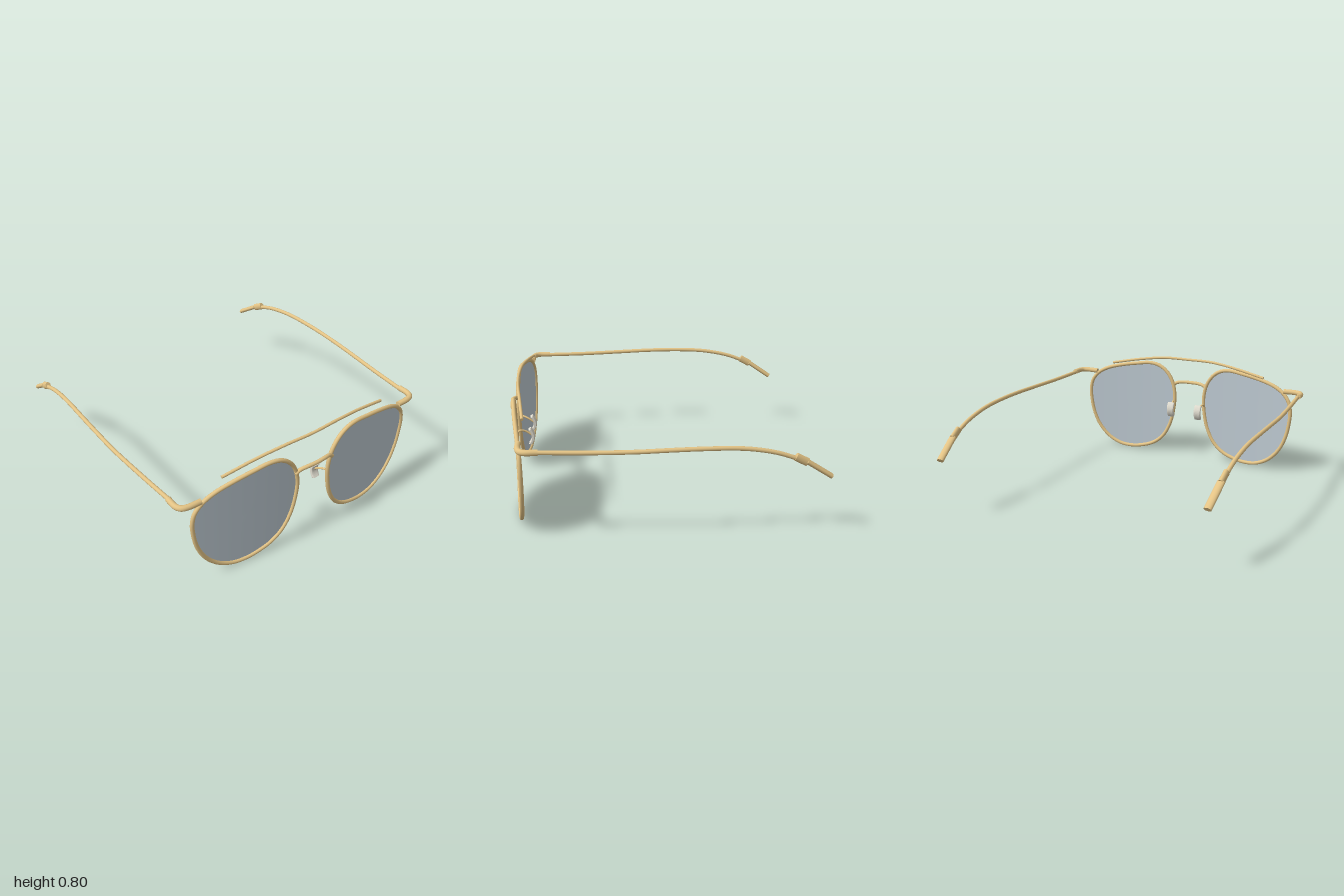
import * as THREE from 'three';
import { mergeGeometries } from 'three/addons/utils/BufferGeometryUtils.js';

const gold = new THREE.MeshStandardMaterial({ color: 0xe3c385 });
gold.name = 'gold metal';
const glass = new THREE.MeshStandardMaterial({ color: 0xbecad2, side: THREE.DoubleSide });
glass.name = 'grey lens';
const silicone = new THREE.MeshStandardMaterial({ color: 0xe0dccf });
silicone.name = 'pale silicone';

const V = (x, y, z) => new THREE.Vector3(x, y, z);

// Front wrap: the lenses sweep back towards the temples
const wrapZ = (x) => 0.965 - 0.03 * Math.abs(x) - 0.08 * x * x;

// Centre line of one rim, in x and y
const RIM = [
  [0.34, 0.73], [0.45, 0.717], [0.57, 0.697], [0.7, 0.662], [0.78, 0.617], [0.83, 0.555],
  [0.848, 0.48], [0.845, 0.4], [0.822, 0.28], [0.77, 0.165], [0.685, 0.074], [0.59, 0.026],
  [0.5, 0.015], [0.42, 0.024], [0.31, 0.06], [0.225, 0.128], [0.163, 0.24], [0.132, 0.37],
  [0.125, 0.49], [0.15, 0.6], [0.203, 0.677], [0.265, 0.717],
];

function mesh(name, geometry, material) {
  const m = new THREE.Mesh(geometry, material);
  m.name = name;
  return m;
}

// Round wire through points, with flat caps on both ends
function wire(name, points, radius, segments) {
  const curve = new THREE.CatmullRomCurve3(points, false, 'centripetal');
  const parts = [new THREE.TubeGeometry(curve, segments, radius, 12, false)];
  for (const t of [0, 1]) {
    const dir = curve.getTangentAt(t).multiplyScalar(t ? 1 : -1);
    const cap = new THREE.CircleGeometry(radius, 12);
    cap.applyQuaternion(new THREE.Quaternion().setFromUnitVectors(V(0, 0, 1), dir));
    const p = curve.getPointAt(t);
    parts.push(cap.translate(p.x, p.y, p.z));
  }
  return mesh(name, mergeGeometries(parts), gold);
}

// Oval rod from a to b
function ovalRod(name, a, b, halfWidth, halfHeight) {
  const g = new THREE.CylinderGeometry(1, 1, a.distanceTo(b), 20).rotateX(Math.PI / 2);
  const m = mesh(name, g.scale(halfWidth, halfHeight, 1), gold);
  m.position.copy(a).lerp(b, 0.5);
  m.lookAt(b);
  return m;
}

// Curved lens: concentric loops shrunk from the rim outline
function lensGeometry(curve, cx, cy) {
  const n = 96, rings = 8, pos = [], index = [];
  const outline = curve.getPoints(n);
  for (let r = 0; r <= rings; r++) {
    for (let i = 0; i <= n; i++) {
      const x = cx + ((outline[i].x - cx) * r) / rings;
      const y = cy + ((outline[i].y - cy) * r) / rings;
      pos.push(x, y, wrapZ(x));
      if (r < rings && i < n) {
        const a = r * (n + 1) + i, b = a + n + 1;
        // Keep the front of each face towards +z on both sides
        if (cx > 0) index.push(a, a + 1, b, b, a + 1, b + 1);
        else index.push(a, b, a + 1, b, b + 1, a + 1);
      }
    }
  }
  const g = new THREE.BufferGeometry();
  g.setAttribute('position', new THREE.Float32BufferAttribute(pos, 3));
  g.setIndex(index);
  g.computeVertexNormals();
  return g;
}

// Nose pad: thin crescent profile extruded across its width
function padGeometry() {
  const s = new THREE.Shape();
  s.moveTo(-0.008, 0.054);
  s.quadraticCurveTo(0.036, 0, -0.008, -0.054);
  s.lineTo(-0.018, -0.049);
  s.quadraticCurveTo(0.02, 0, -0.018, 0.049);
  s.closePath();
  const g = new THREE.ExtrudeGeometry(s, {
    depth: 0.03, bevelEnabled: true, bevelSize: 0.004, bevelThickness: 0.012, bevelSegments: 3, curveSegments: 12,
  });
  // Profile x points backwards, extrusion runs across x
  return g.translate(0, 0, -0.015).rotateY(Math.PI / 2);
}

function buildSide(s, label) {
  const side = new THREE.Group();
  side.name = label + 'Side';
  const P = (x, y, z) => V(s * x, y, z);

  // Rim and lens
  const rimCurve = new THREE.CatmullRomCurve3(RIM.map(([x, y]) => P(x, y, wrapZ(x))), true, 'centripetal');
  side.add(mesh('rim', new THREE.TubeGeometry(rimCurve, 120, 0.0138, 12, true), gold));
  side.add(mesh('lens', lensGeometry(rimCurve, s * 0.48, 0.39), glass));

  // End piece bending round to the hinge
  side.add(wire('endPiece', [
    P(0.79, 0.63, 0.889), P(0.87, 0.632, 0.887), P(0.912, 0.632, 0.873),
    P(0.93, 0.632, 0.842), P(0.931, 0.632, 0.765),
  ], 0.019, 30));

  // Temple arm, bowed outwards and dropping behind the ear
  side.add(wire('temple', [
    P(0.926, 0.63, 0.79), P(0.945, 0.626, 0.5), P(0.963, 0.629, 0.2), P(0.966, 0.634, 0),
    P(0.964, 0.635, -0.2), P(0.957, 0.628, -0.4), P(0.952, 0.613, -0.52),
    P(0.947, 0.584, -0.65), P(0.942, 0.536, -0.78),
  ], 0.0138, 70));

  // Collar and flattened ear tip
  side.add(ovalRod('tipCollar', P(0.943, 0.555, -0.755), P(0.938, 0.513, -0.83), 0.018, 0.026));
  side.add(ovalRod('earTip', P(0.938, 0.52, -0.825), P(0.922, 0.409, -0.988), 0.025, 0.016));

  // Nose pad on a bent wire
  side.add(wire('padArm', [
    P(0.132, 0.42, 0.955), P(0.13, 0.435, 0.935), P(0.118, 0.425, 0.9), P(0.115, 0.395, 0.858),
  ], 0.007, 20));
  const pad = mesh('nosePad', padGeometry(), silicone);
  pad.position.set(s * 0.115, 0.388, 0.857);
  side.add(pad);
  return side;
}

export function createModel() {
  const model = new THREE.Group();
  model.name = 'sunglasses';
  model.add(buildSide(1, 'left'), buildSide(-1, 'right'));

  // Arched bridge lapping over the rims
  model.add(wire('bridge', [
    V(-0.147, 0.56, 0.966), V(-0.115, 0.582, 0.971), V(-0.07, 0.591, 0.981), V(0, 0.592, 0.986),
    V(0.07, 0.591, 0.981), V(0.115, 0.582, 0.971), V(0.147, 0.56, 0.966),
  ], 0.013, 40));

  // Brow bar above the lenses
  const half = [[0.2, 0.787, 0.923], [0.4, 0.763, 0.899], [0.632, 0.719, 0.871]];
  model.add(wire('browBar', [
    ...half.map(([x, y, z]) => V(-x, y, z)).reverse(),
    V(0, 0.788, 0.932),
    ...half.map(([x, y, z]) => V(x, y, z)),
  ], 0.01, 60));
  return model;
}
